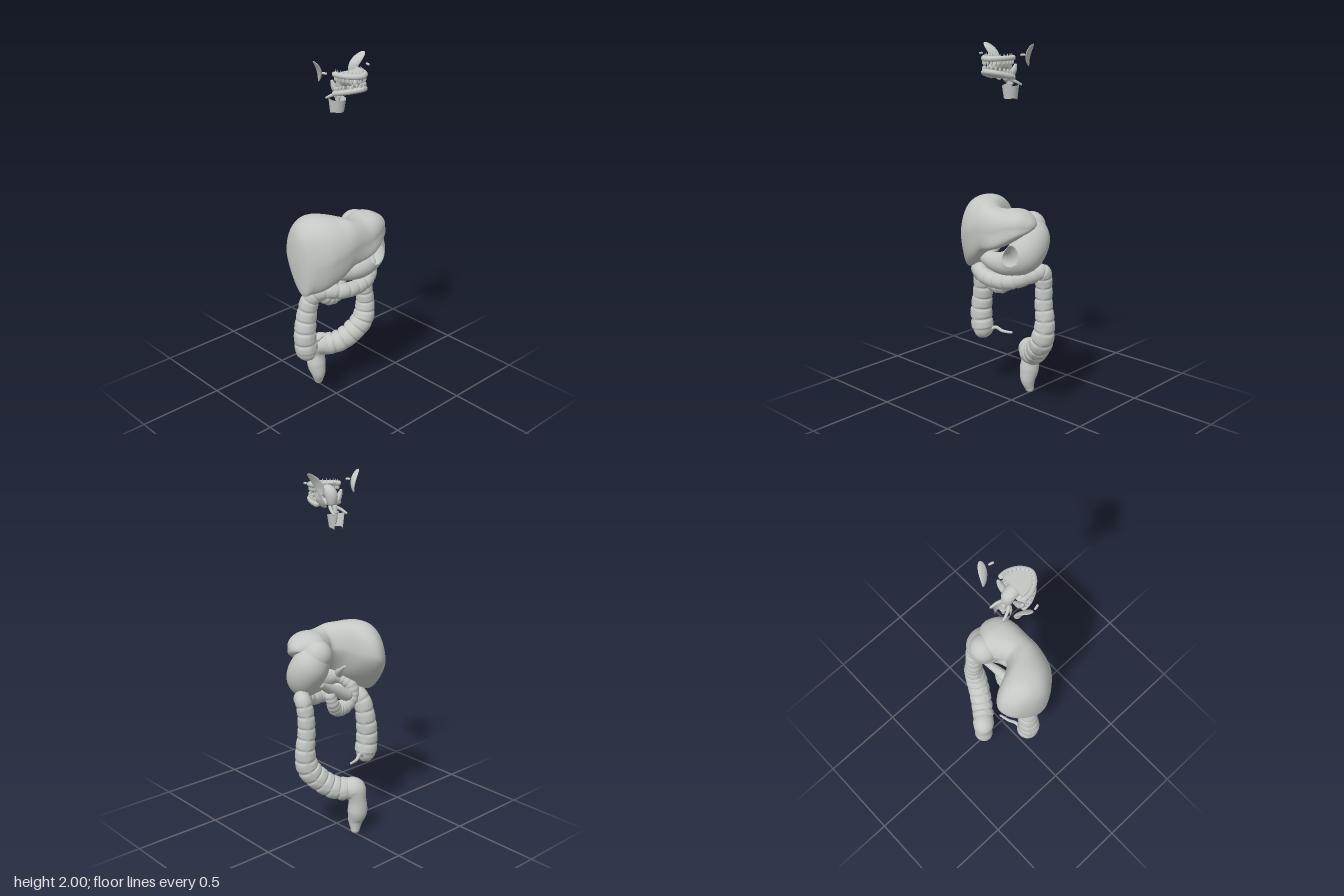
import * as THREE from 'three';

const grey = new THREE.MeshStandardMaterial({ color: 0xc4c8c4, side: THREE.DoubleSide });
grey.name = 'tissueGrey';

// Smooth interpolation through rows of numbers, t from 0 to 1
function spline(rows, t) {
  const n = rows.length - 1, s = Math.min(Math.max(t, 0), 1) * n;
  const i = Math.min(Math.floor(s), n - 1), f = s - i;
  const a = rows[Math.max(i - 1, 0)], b = rows[i], c = rows[i + 1], d = rows[Math.min(i + 2, n)];
  return b.map((v, k) => v + 0.5 * f * (c[k] - a[k] + f * (2 * a[k] - 5 * v + 4 * c[k] - d[k]
    + f * (3 * (v - c[k]) + d[k] - a[k]))));
}

// Skin a list of closed rings; keep() can leave faces out
function skin(rings, keep = () => true) {
  const n = rings[0].length, pts = rings.flat(), index = [];
  for (let i = 0; i < rings.length - 1; i++) for (let j = 0; j < n; j++) {
    const a = i * n + j, d = i * n + (j + 1) % n, b = a + n, c = d + n;
    if (keep(pts[a])) index.push(a, d, b, d, c, b);
  }
  const g = new THREE.BufferGeometry().setFromPoints(pts);
  g.setIndex(index);
  g.computeVertexNormals();
  return g;
}

// Round-ended tube through rows of [x, y, z, radius]
function organTube(rows, segs, sides, shape = (r) => r, keep) {
  const rings = [], at = (t) => new THREE.Vector3(...spline(rows, t));
  let N = null;
  const ring = (t, a, sign) => {
    const T = at(Math.min(t + 0.004, 1)).sub(at(Math.max(t - 0.004, 0))).normalize();
    if (!N) N = Math.abs(T.z) < 0.8 ? new THREE.Vector3(0, 0, 1) : new THREE.Vector3(1, 0, 0);
    N = N.clone().addScaledVector(T, -N.dot(T)).normalize();
    const B = T.clone().cross(N), r = spline(rows, t)[3];
    const P = at(t).addScaledVector(T, sign * r * Math.sin(a));
    rings.push(Array.from({ length: sides }, (_, j) => {
      const p = j / sides * Math.PI * 2, q = shape(r, t, p) * Math.cos(a);
      return P.clone().addScaledVector(N, q * Math.cos(p)).addScaledVector(B, q * Math.sin(p));
    }));
  };
  for (let k = 8; k > 0; k--) ring(0, k / 8 * Math.PI / 2, -1);
  for (let i = 0; i <= segs; i++) ring(i / segs, 0, 0);
  for (let k = 1; k <= 8; k++) ring(1, k / 8 * Math.PI / 2, 1);
  return skin(rings, keep);
}

export function createModel() {
  const model = new THREE.Group();
  const add = (name, geo, parent = model) => {
    const m = new THREE.Mesh(geo, grey);
    m.name = name;
    parent.add(m);
    return m;
  };

  // Liver: rows of [x, bottom y, top y, back z, front z, forward shift of the lower edge]
  const liverRows = [
    [-0.296, 0.92, 0.98, 0.01, 0.04, 0], [-0.285, 0.77, 1.08, -0.05, 0.09, 0.02],
    [-0.25, 0.76, 1.14, -0.125, 0.14, 0.03], [-0.2, 0.775, 1.172, -0.165, 0.185, 0.05],
    [-0.15, 0.81, 1.18, -0.17, 0.205, 0.07], [-0.1, 0.85, 1.175, -0.125, 0.215, 0.07],
    [-0.05, 0.9, 1.165, -0.02, 0.218, 0.05], [0, 0.92, 1.148, 0.03, 0.218, 0.05],
    [0.05, 0.935, 1.143, 0, 0.218, 0.07], [0.1, 0.955, 1.15, -0.03, 0.216, 0.08],
    [0.15, 0.985, 1.148, -0.02, 0.203, 0.07], [0.2, 1.02, 1.125, 0.02, 0.175, 0.05],
    [0.23, 1.045, 1.095, 0.055, 0.13, 0.02], [0.239, 1.065, 1.075, 0.085, 0.1, 0]];
  const liverRings = [];
  for (let i = 0; i <= 90; i++) {
    const [x, y0, y1, z0, z1, shift] = spline(liverRows, i / 90);
    liverRings.push(Array.from({ length: 64 }, (_, j) => {
      // Full front wall, sharp lower edge, undercut back
      const p = j / 64 * Math.PI * 2, c = Math.cos(p), s = Math.sin(p), low = Math.max(-c, 0);
      const full = s > 0 ? 0.8 : 1;
      const w = (z1 - z0) / 2 * Math.sign(s) * Math.abs(s) ** full;
      return new THREE.Vector3(x, (y0 + y1) / 2 + (y1 - y0) / 2 * c,
        (z0 + z1) / 2 + w * (1 - 0.2 * low) + shift * low ** 1.5);
    }));
  }
  const ends = [liverRings[0], liverRings[90]].map((r) => {
    const m = r.reduce((s, v) => s.add(v), new THREE.Vector3()).divideScalar(64);
    return r.map(() => m.clone());
  });
  add('liver', skin([ends[0], ...liverRings, ends[1]]));

  // Stomach with a round window in its front wall
  add('stomach', organTube([[0.14, 1.045, -0.002, 0.08], [0.162, 0.99, 0.022, 0.102], [0.168, 0.93, 0.06, 0.104],
    [0.145, 0.885, 0.09, 0.096], [0.08, 0.852, 0.115, 0.07], [0, 0.845, 0.12, 0.053],
    [-0.07, 0.85, 0.11, 0.042], [-0.12, 0.84, 0.08, 0.032]], 160, 96, undefined,
  (p) => !(p.z > 0.1 && Math.hypot(p.x - 0.152, p.y - 0.91) < 0.056)));

  // Duodenum, pancreas and gallbladder
  add('duodenum', organTube([[-0.11, 0.84, 0.08, 0.032], [-0.145, 0.8, 0.045, 0.038], [-0.145, 0.735, 0.035, 0.041],
    [-0.095, 0.685, 0.04, 0.043], [-0.03, 0.685, 0.035, 0.041], [0.01, 0.73, 0.02, 0.035], [0.03, 0.78, 0.02, 0.03]],
  80, 24, (r, t) => r * (1 + 0.04 * Math.sin(t * 90))));
  add('pancreas', organTube([[-0.1, 0.755, 0.03, 0.036], [-0.03, 0.79, 0.03, 0.034], [0.05, 0.83, 0.015, 0.026],
    [0.12, 0.87, -0.01, 0.016]], 40, 16));
  add('gallbladder', organTube([[-0.11, 0.85, 0.1, 0.026], [-0.08, 0.88, 0.07, 0.024], [-0.055, 0.91, 0.03, 0.013],
    [-0.05, 0.94, -0.01, 0.008]], 30, 16));

  // Colon: pouches pinched between three lengthwise bands
  const pouched = (r, t, p) => {
    const pinch = Math.pow(1 - Math.abs(Math.sin(t * Math.PI * 27)), 2.5), band = Math.cos(3 * p);
    return band > 0.93 ? r * 0.97 + 0.002 : r * (1.04 - 0.15 * pinch * (1 - 0.4 * Math.max(band, 0)));
  };
  add('colon', organTube([[-0.225, 0.385, 0, 0.062], [-0.235, 0.49, 0, 0.06], [-0.222, 0.6, 0, 0.055],
    [-0.205, 0.71, 0.02, 0.049], [-0.17, 0.765, 0.08, 0.043], [-0.08, 0.752, 0.13, 0.041], [0.02, 0.745, 0.138, 0.041],
    [0.12, 0.76, 0.12, 0.043], [0.2, 0.795, 0.06, 0.043], [0.235, 0.81, 0.01, 0.043], [0.23, 0.73, -0.008, 0.045],
    [0.228, 0.62, -0.01, 0.048], [0.238, 0.52, -0.01, 0.053], [0.22, 0.42, -0.01, 0.062], [0.165, 0.345, -0.035, 0.063],
    [0.1, 0.29, -0.075, 0.063], [0.035, 0.27, -0.12, 0.063]], 420, 48, pouched));
  add('rectum', organTube([[0.04, 0.27, -0.115, 0.058], [0.004, 0.272, -0.15, 0.064], [-0.005, 0.215, -0.166, 0.05],
    [-0.01, 0.14, -0.163, 0.055], [-0.008, 0.08, -0.15, 0.043], [0, 0.026, -0.156, 0.026]], 70, 32));
  add('appendix', organTube([[-0.19, 0.37, -0.02, 0.012], [-0.15, 0.395, -0.03, 0.01], [-0.11, 0.378, -0.045, 0.009],
    [-0.055, 0.378, -0.06, 0.007]], 40, 12));

  // Mouth: two gum arches with rows of teeth and roots
  const mouth = new THREE.Group();
  mouth.name = 'mouth';
  model.add(mouth);
  const arch = [[-0.076, 0.07], [-0.073, 0.11], [-0.046, 0.16], [0, 0.186], [0.046, 0.16], [0.073, 0.11], [0.076, 0.07]];
  for (const [name, y, dir, slope] of [['upper', 1.924, 1, -0.08], ['lower', 1.858, -1, 0.25]]) {
    const height = (z) => y + slope * (z - 0.18) * (dir < 0 ? 1 : 0.5);
    add(name + 'Gum', organTube(arch.map(([x, z]) => [x, height(z), z, 0.014]), 60, 16), mouth);
    for (let i = 0; i < 16; i++) {
      const t = (i + 0.5) / 16, [x, z] = spline(arch, t), back = Math.abs(t - 0.5);
      const tooth = add(name + 'Tooth', new THREE.CapsuleGeometry(0.5, 1, 4, 10), mouth);
      tooth.scale.set(0.013, 0.017, 0.01 + back * 0.01);
      tooth.position.set(x * 1.02, height(z) - dir * 0.016, z * 1.01);
      tooth.rotation.y = Math.atan2(x, z - 0.09);
      if (dir > 0) {
        const root = add('toothRoot', new THREE.ConeGeometry(0.006, 0.022, 8), mouth);
        root.position.set(x * 0.92, height(z) + 0.015, z * 0.96);
      }
    }
  }
  // Palate and floor of the mouth
  const outline = new THREE.Shape([...Array(25).keys()].map((i) => {
    const [x, z] = spline(arch, i / 24);
    return new THREE.Vector2(x, z);
  }));
  for (const [name, y, tilt] of [['palate', 1.93, 0.04], ['mouthFloor', 1.848, -0.25]]) {
    const g = new THREE.ExtrudeGeometry(outline, { depth: 0.008, bevelEnabled: false });
    g.translate(0, -0.15, 0).rotateX(Math.PI / 2 + tilt);
    add(name, g, mouth).position.set(0, y, 0.15);
  }
  add('tongue', organTube([[0, 1.885, 0.14, 0.022], [0, 1.895, 0.085, 0.034], [0, 1.88, 0.045, 0.034],
    [0, 1.84, 0.038, 0.028], [0, 1.82, 0.04, 0.018]], 40, 24), mouth);

  // Voice box: a shell open at the back, with raised horns
  const shell = new THREE.CylinderGeometry(0.046, 0.036, 0.064, 32, 8, true, -2.2, 4.4);
  const sp = shell.attributes.position;
  for (let i = 0; i < sp.count; i++) {
    const side = Math.abs(Math.atan2(sp.getX(i), sp.getZ(i))) / 2.2;
    sp.setY(i, sp.getY(i) * (1 + 0.4 * side ** 4) - 0.006 * (1 - side));
  }
  shell.computeVertexNormals();
  add('voiceBox', shell).position.set(0, 1.75, 0.006);
  add('epiglottis', organTube([[0, 1.735, 0.012, 0.008], [0, 1.78, 0.01, 0.013], [0, 1.815, 0.015, 0.012]], 20, 12));
  add('throatRing', new THREE.TorusGeometry(0.014, 0.005, 8, 24).rotateX(Math.PI / 2)).position.set(0, 1.79, 0.01);

  // Salivary glands on both sides
  for (const s of [-1, 1]) {
    const g = new THREE.SphereGeometry(1, 24, 20);
    g.scale(0.011, 0.058, 0.034);
    const p = g.attributes.position;
    for (let i = 0; i < p.count; i++) {
      const y = p.getY(i), z = p.getZ(i);
      p.setXYZ(i, p.getX(i) + y * 0.5 + 6 * y * y + z * 0.3, y, z * (0.8 + 4 * y) + y * 0.25);
    }
    g.computeVertexNormals();
    const cheek = add('cheekGland', g);
    cheek.position.set(s * 0.122, 1.942, 0.006);
    cheek.scale.x = s;
    const duct = add('glandDuct', new THREE.CapsuleGeometry(0.006, 0.018, 4, 10).rotateX(Math.PI / 2));
    duct.position.set(s * 0.148, 1.945, 0.075);
    duct.rotation.y = s * -0.25;
    add('jawGland', organTube([[s * 0.08, 1.89, 0.055, 0.009], [s * 0.07, 1.86, 0.06, 0.016],
      [s * 0.05, 1.835, 0.06, 0.016], [s * 0.03, 1.82, 0.06, 0.011]], 24, 12));
    add('throatHorn', organTube([[s * 0.043, 1.785, -0.028, 0.006], [s * 0.036, 1.8, 0, 0.008],
      [s * 0.02, 1.815, 0.03, 0.009]], 20, 10));
  }
  return model;
}
